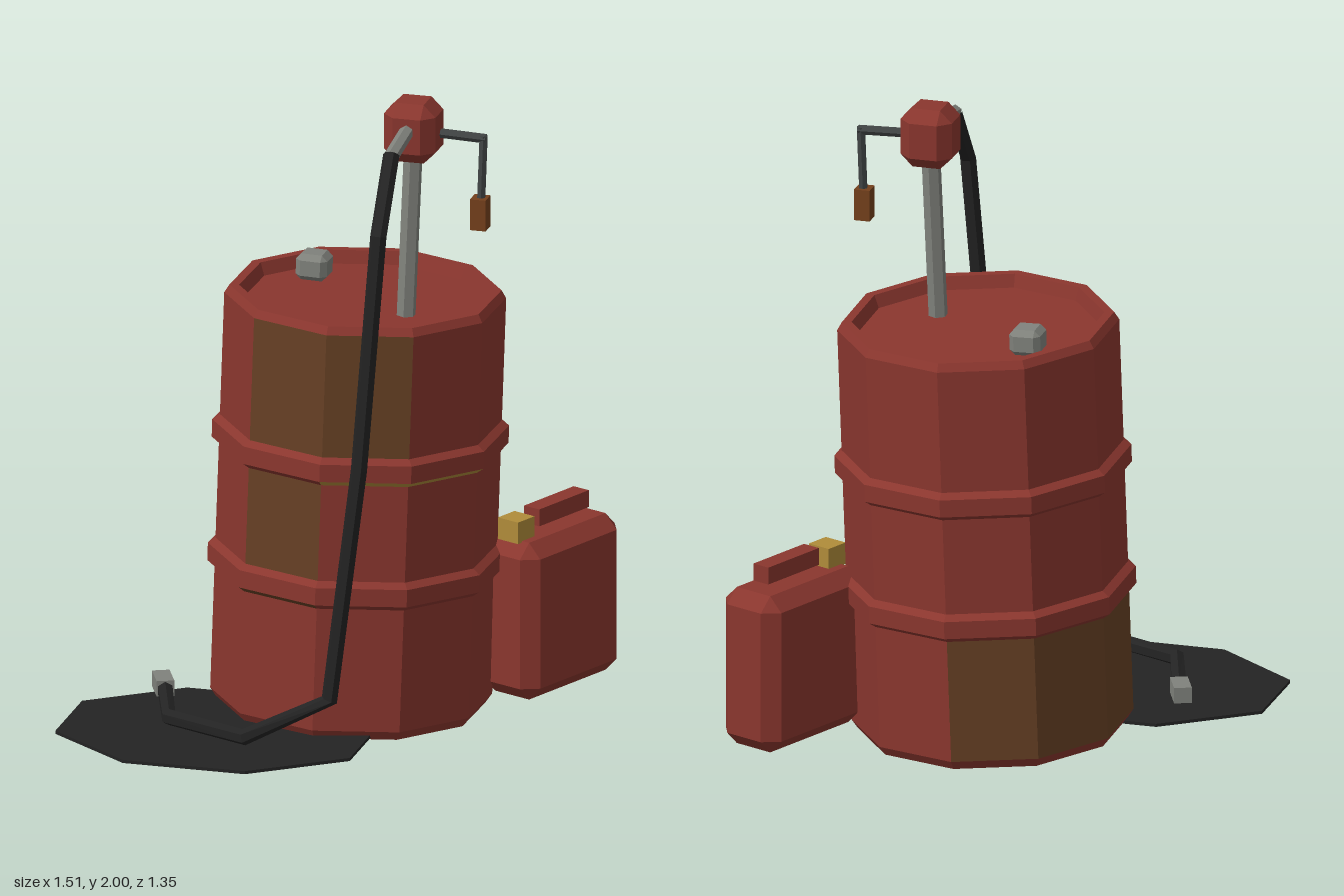
import * as THREE from 'three';
import { ConvexGeometry } from 'three/addons/geometries/ConvexGeometry.js';

const material = (name, color) => {
  const m = new THREE.MeshStandardMaterial({ color });
  m.name = name;
  return m;
};

const V = (x, y, z) => new THREE.Vector3(x, y, z);

function flat(geometry) {
  const g = geometry.index ? geometry.toNonIndexed() : geometry;
  g.computeVertexNormals();
  return g;
}

// Box with every edge chamfered by c
function chamferBox(w, h, d, c) {
  const pts = [];
  for (const sx of [-1, 1]) for (const sy of [-1, 1]) for (const sz of [-1, 1]) {
    const x = w / 2, y = h / 2, z = d / 2;
    pts.push(V(sx * x, sy * (y - c), sz * (z - c)));
    pts.push(V(sx * (x - c), sy * y, sz * (z - c)));
    pts.push(V(sx * (x - c), sy * (y - c), sz * z));
  }
  return new ConvexGeometry(pts);
}

// Faceted lathe whose panels can each take a material: paint[band][side] = material index
function panelLathe(profile, sides, paint, materialCount) {
  const buckets = Array.from({ length: materialCount }, () => []);
  const at = ([r, y], s) => {
    const a = (s / sides) * Math.PI * 2;
    return [r * Math.sin(a), y, r * Math.cos(a)];
  };
  for (let b = 0; b < profile.length - 1; b++) {
    const lo = profile[b], hi = profile[b + 1];
    for (let s = 0; s < sides; s++) {
      const out = buckets[paint[b]?.[s] ?? 0];
      const [p, q, r, t] = [at(lo, s), at(lo, s + 1), at(hi, s + 1), at(hi, s)];
      if (lo[0] > 0) out.push(...p, ...q, ...r);
      if (hi[0] > 0) out.push(...p, ...r, ...t);
      else out.push();
    }
  }
  const g = new THREE.BufferGeometry();
  let start = 0;
  buckets.forEach((bucket, i) => {
    g.addGroup(start, bucket.length / 3, i);
    start += bucket.length / 3;
  });
  g.setAttribute('position', new THREE.Float32BufferAttribute(buckets.flat(), 3));
  g.computeVertexNormals();
  return g;
}

export function createModel() {
  const red = material('red paint', 0x8a362e);
  const rust = material('rust', 0x664024);
  const gold = material('gold', 0xb08c3a);
  const steel = material('steel', 0x80827c);
  const iron = material('dark iron', 0x404444);
  const black = material('black rubber', 0x232323);
  const wood = material('brown grip', 0x74401c);

  const model = new THREE.Group();
  model.name = 'drumWithPump';

  const add = (name, geometry, mat, x = 0, y = 0, z = 0, parent = model) => {
    const mesh = new THREE.Mesh(geometry, mat);
    mesh.name = name;
    mesh.position.set(x, y, z);
    parent.add(mesh);
    return mesh;
  };

  // Straight faceted rod between two points
  const rod = (name, a, b, r, mat, sides = 6) => {
    const dir = b.clone().sub(a);
    const mid = a.clone().add(b).multiplyScalar(0.5);
    const g = flat(new THREE.CylinderGeometry(r, r, dir.length(), sides));
    const mesh = add(name, g, mat, mid.x, mid.y, mid.z);
    mesh.quaternion.setFromUnitVectors(V(0, 1, 0), dir.normalize());
    return mesh;
  };

  // Leaning drum with two raised hoops and a recessed lid
  const drum = new THREE.Group();
  drum.name = 'drum';
  drum.position.set(0.025, 0.015, -0.135);
  drum.rotation.set(-0.025, 0, -0.028);
  model.add(drum);
  const hoop = (y) => [[0.435, y - 0.045], [0.458, y - 0.028], [0.458, y + 0.028], [0.435, y + 0.045]];
  const profile = [
    [0, 0], [0.415, 0], [0.435, 0.03],
    ...hoop(0.47), ...hoop(0.87),
    [0.435, 1.31], [0.42, 1.335], [0.39, 1.335], [0.375, 1.295], [0, 1.295],
  ];
  // Rusted (1) and gold (2) panels, by band and side
  const paint = {
    2: { 5: 1, 6: 1, 7: 1 },
    3: { 9: 1 },
    6: { 9: 1 },
    7: { 0: 2, 1: 2, 2: 2 },
    10: { 9: 1, 0: 1 },
  };
  add('drumShell', panelLathe(profile, 10, paint, 3), [red, rust, gold], 0, 0, 0, drum);
  add('bungCap', chamferBox(0.1, 0.085, 0.1, 0.018), steel, -0.21, 1.335, -0.16, drum);

  // Pump column, head and spout
  rod('pumpColumn', V(0.22, 1.29, -0.07), V(0.237, 1.85, -0.095), 0.03, steel);
  add('pumpHead', chamferBox(0.165, 0.19, 0.165, 0.038), red, 0.237, 1.905, -0.098);
  rod('pumpSpout', V(0.237, 1.925, -0.05), V(0.235, 1.893, 0.155), 0.023, steel);

  // Crank handle
  rod('crankArm', V(0.325, 1.9, -0.095), V(0.47, 1.895, -0.095), 0.015, iron);
  rod('crankRod', V(0.462, 1.905, -0.095), V(0.455, 1.68, -0.09), 0.014, iron);
  add('crankGrip', new THREE.BoxGeometry(0.05, 0.1, 0.055), wood, 0.453, 1.655, -0.088);

  // Hose with one ring of vertices at each bend
  const bends = [
    V(0.235, 1.9, 0.145), V(0.242, 1.69, 0.315), V(0.2, 0.95, 0.385),
    V(0.12, 0.21, 0.437), V(-0.13, 0.093, 0.522), V(-0.405, 0.093, 0.4), V(-0.495, 0.093, 0.13),
  ];
  const path = new THREE.CatmullRomCurve3(bends, false, 'catmullrom', 0.5);
  path.getPointAt = (t, target) => path.getPoint(t, target);
  path.getTangentAt = (t, target) => path.getTangent(t, target);
  add('hose', flat(new THREE.TubeGeometry(path, bends.length - 1, 0.026, 6)), black);
  const nozzle = add('hoseNozzle', new THREE.BoxGeometry(0.055, 0.05, 0.105), steel, -0.508, 0.097, 0.105);
  nozzle.rotation.y = 0.42;

  // Oil puddle
  const puddle = flat(new THREE.CylinderGeometry(1, 1, 0.01, 8, 1, false, Math.PI / 8));
  add('puddle', puddle, black, -0.28, 0.03, 0.31).scale.set(0.511, 1, 0.39);

  // Fuel can standing beside the drum
  const can = new THREE.Group();
  can.name = 'fuelCan';
  can.position.set(0.577, 0.03, -0.44);
  can.rotation.y = -0.41;
  model.add(can);
  add('canBody', chamferBox(0.225, 0.51, 0.46, 0.045), red, 0, 0.255, 0, can);
  add('canHandle', new THREE.BoxGeometry(0.06, 0.055, 0.24), red, 0, 0.558, -0.03, can);
  add('canCap', new THREE.BoxGeometry(0.08, 0.07, 0.08), gold, 0, 0.54, 0.165, can);

  return model;
}
